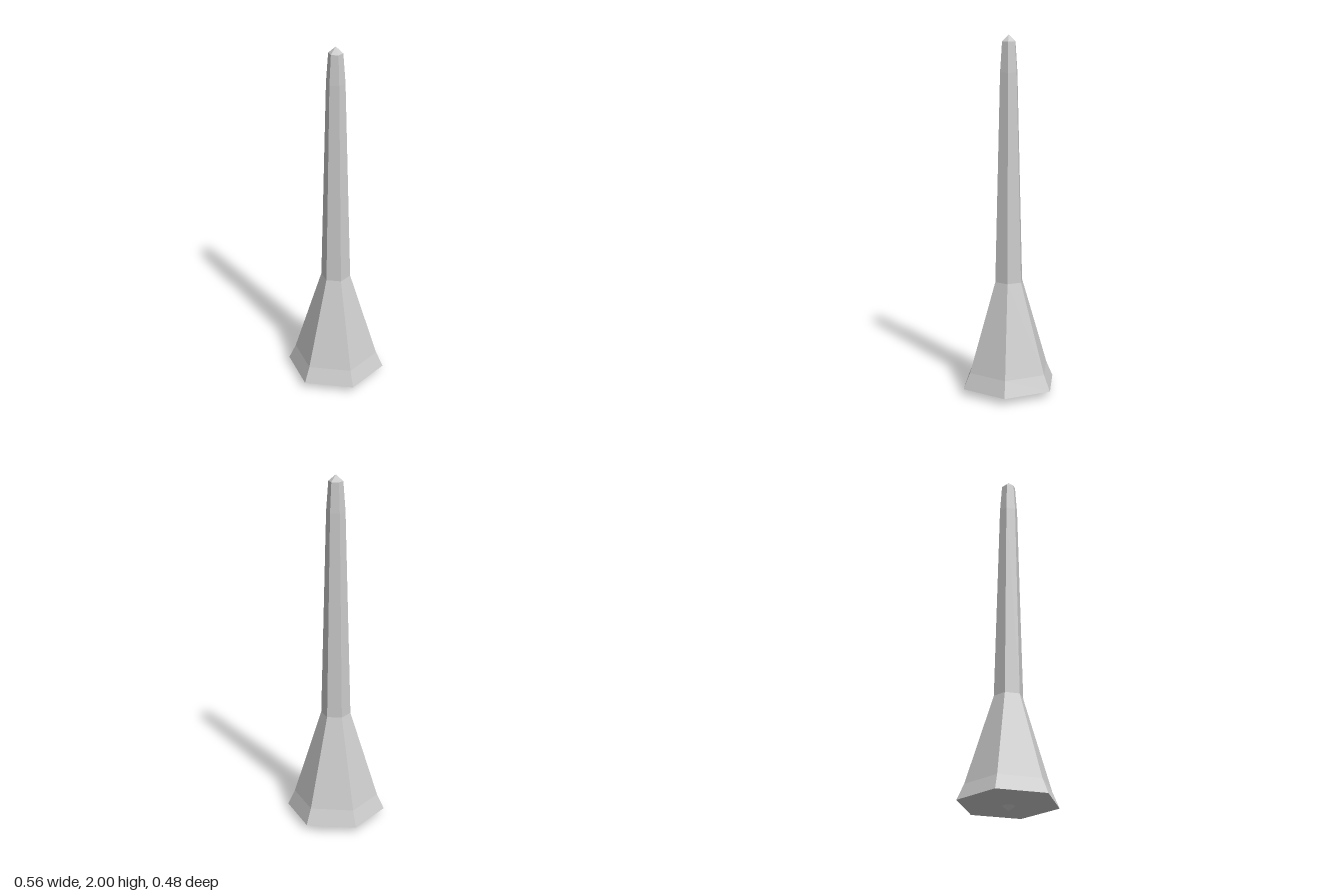
import * as THREE from 'three';

const material = new THREE.MeshStandardMaterial({ color: 0xcccccc, flatShading: true });

// Six-sided turned part with corners on the x axis; profile is [radius, y] from bottom to top
function hexPart(name, profile) {
  const points = profile.map(([r, y]) => new THREE.Vector2(r, y));
  const mesh = new THREE.Mesh(new THREE.LatheGeometry(points, 6, Math.PI / 2), material);
  mesh.name = name;
  return mesh;
}

export function createModel() {
  const group = new THREE.Group();
  group.name = 'taperedSpire';
  group.add(
    // Small point under the foot
    hexPart('bottomPoint', [[0, 0], [0.035, 0.026]]),
    // Nearly flat underside
    hexPart('underside', [[0.035, 0.026], [0.28, 0.036]]),
    // Flared foot
    hexPart('flaredBase', [[0.28, 0.036], [0.24, 0.125], [0.083, 0.635]]),
    // Long slim shaft, narrowing faster near the top
    hexPart('shaft', [[0.083, 0.635], [0.052, 1.8], [0.04, 1.965]]),
    // Pointed cap
    hexPart('tip', [[0.04, 1.965], [0, 2]]),
  );
  return group;
}
